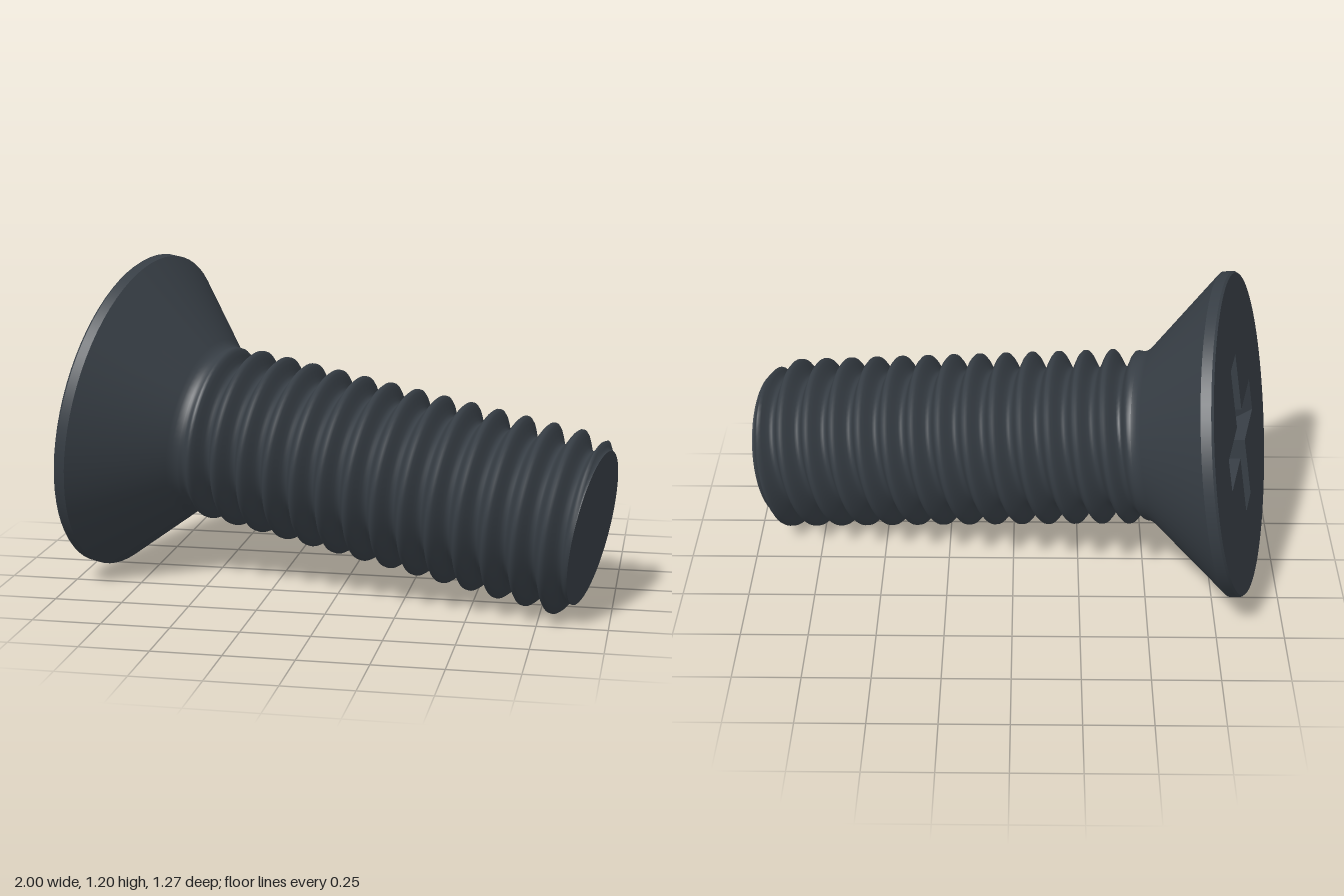
import * as THREE from 'three';

const SIDES = 72;                         // facets around the screw
const PITCH = 0.1045, CREST = 0.468;      // thread pitch and axial place of a crest
const START = 0.35, END = 1.835;          // threaded length along the axis
const NECK_R = 0.318, TIP_R = 0.28;
const ss = THREE.MathUtils.smoothstep, lerp = THREE.MathUtils.lerp;

// Radius of the threaded shaft at axial place s and angle a
function threadRadius(s, a) {
  const phase = (s - CREST) / PITCH * Math.PI * 2 - a;
  let r = 0.296 + 0.034 * Math.cos(phase);
  r = lerp(NECK_R, r, ss(s, START, START + 0.06));    // fades in from the neck
  r = Math.min(r, TIP_R + 1.2 * (END - s));           // chamfer at the tip
  return lerp(r, TIP_R, ss(s, END - 0.03, END));
}

// Rows follow the helix, so the last column joins the first one a turn further on
function threadGeometry() {
  const M = SIDES, N = 12, rows = Math.ceil((END - START) / PITCH + 2) * N;
  const pos = [], index = [];
  for (let j = 0; j <= rows + N; j++) {
    for (let i = 0; i < M; i++) {
      const a = i / M * Math.PI * 2;
      const s = THREE.MathUtils.clamp(START + (j / N + i / M - 1.5) * PITCH, START, END);
      const r = threadRadius(s, a);
      pos.push(r * Math.sin(a), s, r * Math.cos(a));
    }
  }
  for (let j = 0; j < rows; j++) {
    for (let i = 0; i < M; i++) {
      const a = j * M + i, d = a + M;
      const b = i < M - 1 ? a + 1 : (j + N) * M;
      const c = b + M;
      index.push(a, b, d, c, d, b);
    }
  }
  const g = new THREE.BufferGeometry();
  g.setAttribute('position', new THREE.Float32BufferAttribute(pos, 3));
  g.setIndex(index);
  g.computeVertexNormals();
  return g;
}

// One arm of the cross recess: sloping floor and two side walls, opening towards -y
function recessArmGeometry(w, len, depth) {
  const A = [-w, 0, len], B = [w, 0, len];            // outer end at the face
  const C = [w, depth, w], D = [-w, depth, w];        // inner end of the floor
  const E = [w, 0, w], F = [-w, 0, w];                // inner corners at the face
  const g = new THREE.BufferGeometry();
  const tris = [A, C, B, A, D, C, B, C, E, A, F, D];
  g.setAttribute('position', new THREE.Float32BufferAttribute(tris.flat(), 3));
  g.computeVertexNormals();
  return g;
}

export function createModel() {
  const steel = new THREE.MeshStandardMaterial({ color: 0x373e45 });
  steel.name = 'dark steel';
  const model = new THREE.Group();
  model.name = 'countersunkScrew';
  const screw = new THREE.Group();
  screw.name = 'screw';
  model.add(screw);
  const add = (name, geometry) => {
    const m = new THREE.Mesh(geometry, steel);
    m.name = name;
    screw.add(m);
    return m;
  };

  // Conical head with a narrow rim; doubled points keep edges sharp
  const faceR = 0.597, rimR = 0.603;
  const profile = [
    [faceR, 0], [rimR, 0.008], [rimR, 0.008], [rimR, 0.045], [rimR, 0.045],
    [0.338, 0.312], [0.326, 0.327], [0.32, 0.34], [NECK_R, START],
  ].map(p => new THREE.Vector2(...p));
  add('head', new THREE.LatheGeometry(profile, SIDES));

  // Flat face with a cross-shaped opening
  const w = 0.066, len = 0.3, depth = 0.22;
  const face = new THREE.Shape();
  face.absarc(0, 0, faceR, 0, Math.PI * 2, false);
  const cross = [];
  for (let k = 0; k < 4; k++) {
    for (const [x, y] of [[w, -w], [len, -w], [len, w]]) {
      cross.push(new THREE.Vector2(x, y).rotateAround(new THREE.Vector2(), k * Math.PI / 2));
    }
  }
  face.holes.push(new THREE.Path(cross.reverse()));
  add('headFace', new THREE.ShapeGeometry(face, SIDES).rotateX(Math.PI / 2));

  // Cross recess
  for (let k = 0; k < 4; k++) {
    add('recessArm', recessArmGeometry(w, len, depth)).rotation.y = k * Math.PI / 2;
  }
  add('recessFloor', new THREE.PlaneGeometry(2 * w, 2 * w).rotateX(Math.PI / 2)).position.y = depth;

  // Threaded shaft and flat tip
  add('thread', threadGeometry());
  add('tip', new THREE.CircleGeometry(TIP_R, SIDES).rotateX(-Math.PI / 2)).position.y = END;

  // Lay the screw along its tilted axis
  const axis = new THREE.Vector3(1, -0.161, 0.214).normalize();
  const side = axis.clone().cross(new THREE.Vector3(0, 1, 0)).normalize();
  const up = side.clone().cross(axis);
  screw.quaternion.setFromRotationMatrix(new THREE.Matrix4().makeBasis(side, axis, up));
  screw.position.set(-0.844, 0.605, -0.05);
  return model;
}
